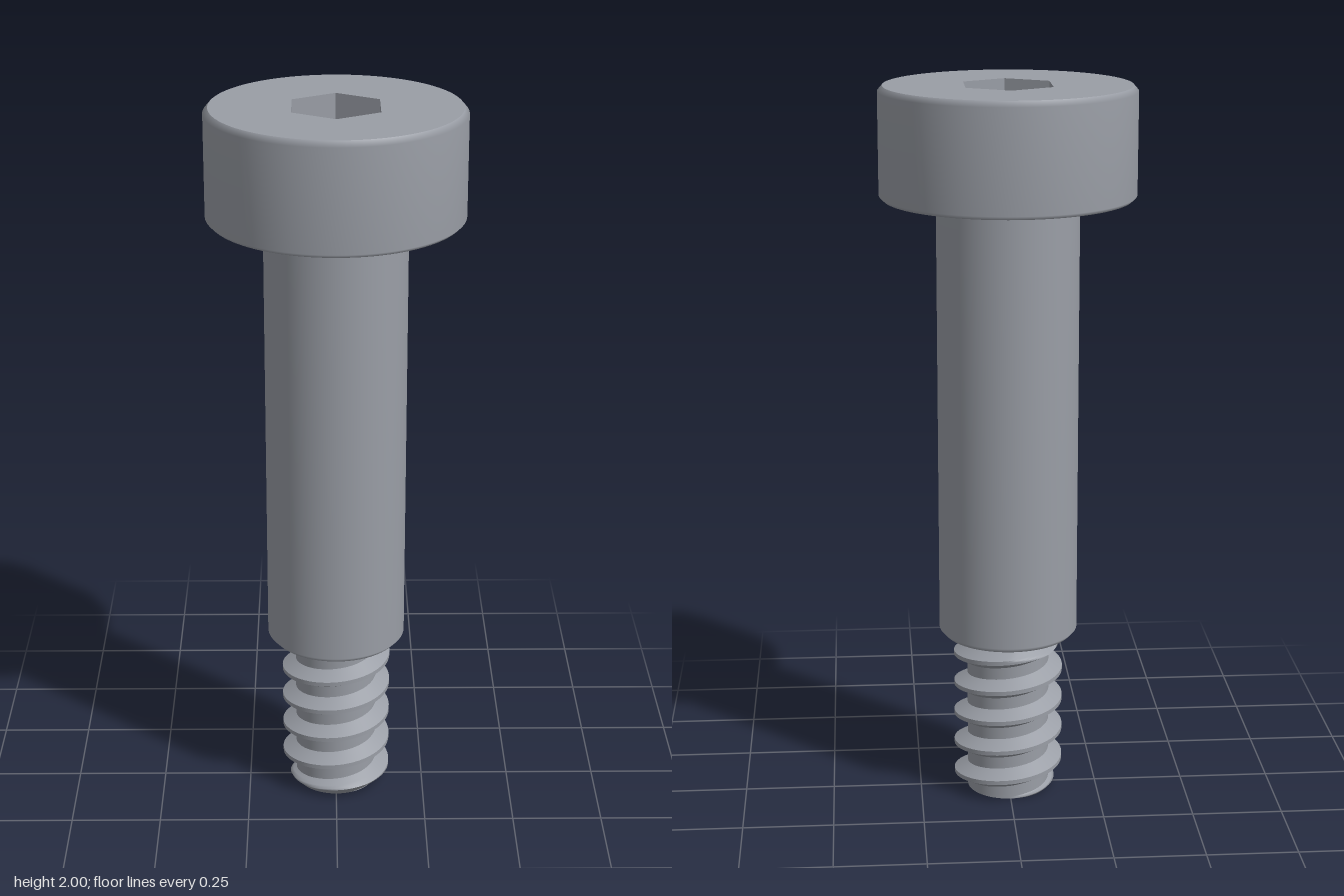
import * as THREE from 'three';

const SEG = 96;
const HEAD_TOP = 2, HEAD_BASE = 1.7, SHOULDER_BASE = 0.47;
const ROOT = 0.115, CREST = 0.153, PITCH = 0.09;

const steel = new THREE.MeshStandardMaterial({ color: 0x9a9ea6 });
steel.name = 'steel grey';
const steelInside = steel.clone();
steelInside.side = THREE.BackSide;

function add(parent, name, geometry, material = steel) {
  const mesh = new THREE.Mesh(geometry, material);
  mesh.name = name;
  parent.add(mesh);
  return mesh;
}

// Profile listed from bottom to top so that faces point outward
function lathe(points) {
  return new THREE.LatheGeometry(points.map(([r, y]) => new THREE.Vector2(r, y)), SEG);
}

// Flat ring facing down at height y
function underside(inner, outer, y) {
  return new THREE.RingGeometry(inner, outer, SEG).rotateX(Math.PI / 2).translate(0, y, 0);
}

// Hexagon with corners on the z axis
function hexPoints(radius) {
  return Array.from({ length: 6 }, (_, i) => {
    const a = Math.PI / 2 + i * Math.PI / 3;
    return new THREE.Vector2(radius * Math.cos(a), radius * Math.sin(a));
  });
}

// Helical V thread, one strip per facet of the tooth, trimmed by end chamfers
function threadGeometry() {
  const tooth = [[-0.028, ROOT], [-0.006, CREST], [0.006, CREST], [0.028, ROOT], [PITCH - 0.028, ROOT]];
  const perTurn = 72, top = SHOULDER_BASE;
  const positions = [], indices = [];
  const first = -2 * perTurn, last = 7 * perTurn;
  for (let k = 0; k < tooth.length - 1; k++) {
    // Each facet is subdivided so the end chamfers cut it cleanly
    const rows = 4;
    const base = positions.length / 3;
    const heights = [];
    for (let i = first; i <= last; i++) {
      const angle = i / perTurn * Math.PI * 2;
      for (let j = 0; j <= rows; j++) {
        const t = j / rows;
        const offset = THREE.MathUtils.lerp(tooth[k][0], tooth[k + 1][0], t);
        const y = THREE.MathUtils.clamp(PITCH * (i / perTurn + 0.25) + offset, 0, top);
        const limit = Math.min(ROOT + y, ROOT + Math.max(0, top - 0.012 - y) * 1.5);
        const r = Math.min(THREE.MathUtils.lerp(tooth[k][1], tooth[k + 1][1], t), limit);
        positions.push(r * Math.sin(angle), y, r * Math.cos(angle));
        heights.push(y);
      }
    }
    for (let i = 0; i < last - first; i++) {
      for (let j = 0; j < rows; j++) {
        const a = i * (rows + 1) + j, b = a + rows + 1;
        const ys = [heights[a], heights[b], heights[a + 1], heights[b + 1]];
        if (Math.max(...ys) <= 0 || Math.min(...ys) >= top) continue;
        indices.push(base + a, base + b, base + b + 1, base + a, base + b + 1, base + a + 1);
      }
    }
  }
  const geometry = new THREE.BufferGeometry();
  geometry.setAttribute('position', new THREE.Float32BufferAttribute(positions, 3));
  geometry.setIndex(indices);
  geometry.computeVertexNormals();
  return geometry;
}

export function createModel() {
  const model = new THREE.Group();
  model.name = 'shoulderScrew';

  // Cylindrical head with softened edges
  const head = new THREE.Group();
  head.name = 'head';
  model.add(head);
  add(head, 'headSide', lathe([
    [0.335, HEAD_BASE], [0.345, HEAD_BASE + 0.01], [0.345, HEAD_TOP - 0.015], [0.332, HEAD_TOP],
  ]));
  add(head, 'headUnderside', underside(0.18, 0.335, HEAD_BASE));

  // Top face pierced by the hex socket
  const face = new THREE.Shape().absarc(0, 0, 0.332, 0, Math.PI * 2);
  face.holes.push(new THREE.Path(hexPoints(0.133)));
  add(head, 'headTop', new THREE.ShapeGeometry(face, SEG / 2).rotateX(-Math.PI / 2).translate(0, HEAD_TOP, 0));

  // Hex socket walls and floor
  const depth = 0.16;
  const walls = new THREE.CylinderGeometry(0.133, 0.133, depth, 6, 1, true).toNonIndexed();
  walls.computeVertexNormals();
  add(head, 'socketWalls', walls.translate(0, HEAD_TOP - depth / 2, 0), steelInside);
  add(head, 'socketFloor', new THREE.ShapeGeometry(new THREE.Shape(hexPoints(0.133)))
    .rotateX(-Math.PI / 2).translate(0, HEAD_TOP - depth, 0));

  // Smooth shoulder with a chamfered foot and a shallow neck below the head
  const shoulder = new THREE.Group();
  shoulder.name = 'shoulder';
  model.add(shoulder);
  add(shoulder, 'shoulderSide', lathe([
    [0.18, SHOULDER_BASE], [0.193, SHOULDER_BASE + 0.014], [0.193, HEAD_BASE - 0.018],
    [0.184, HEAD_BASE - 0.01], [0.184, HEAD_BASE],
  ]));
  add(shoulder, 'shoulderUnderside', underside(0.1, 0.18, SHOULDER_BASE));

  // Threaded end
  add(model, 'thread', threadGeometry());
  add(model, 'threadEnd', underside(0, ROOT, 0));

  return model;
}
